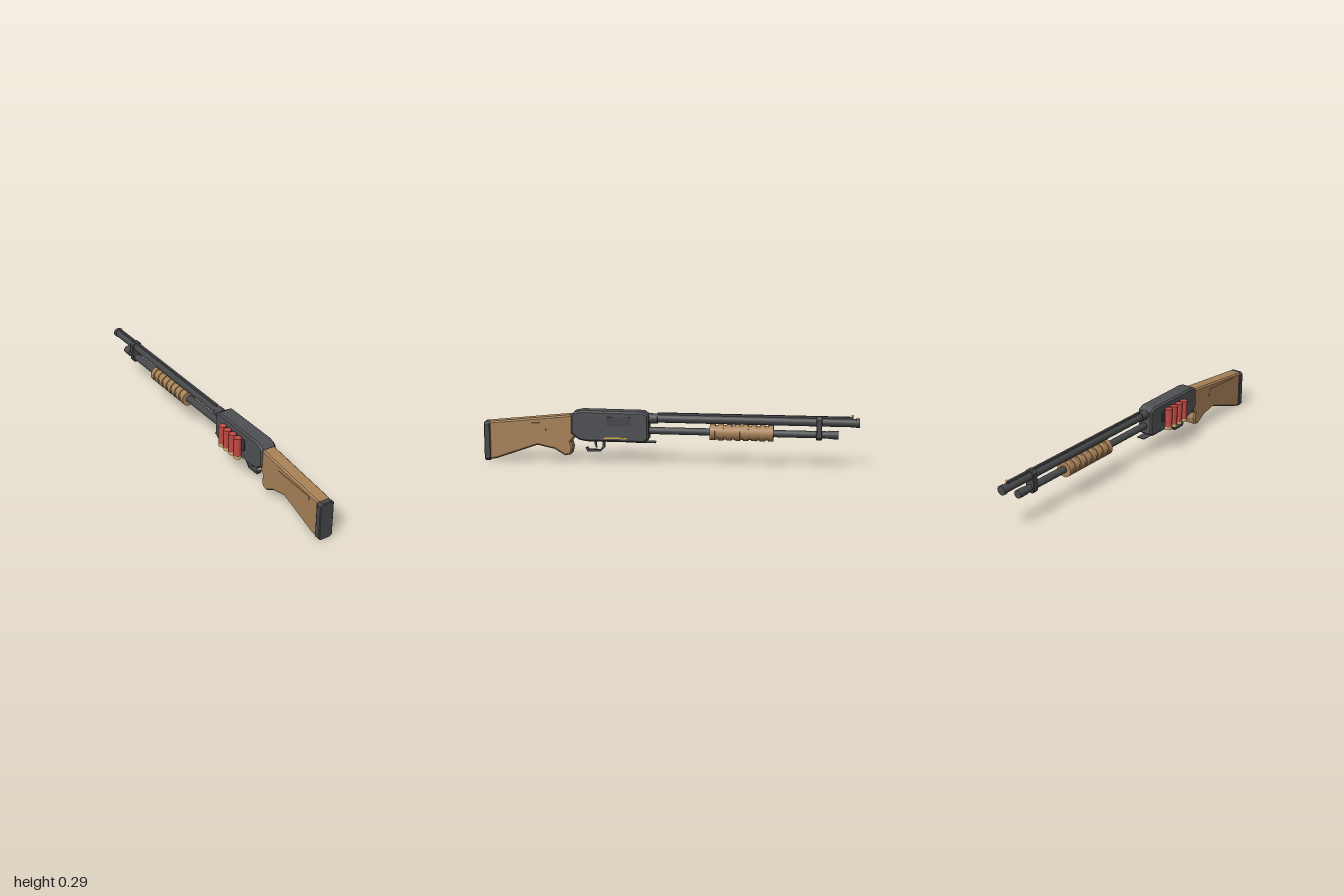
import * as THREE from 'three';

const mat = (name, color) => Object.assign(new THREE.MeshStandardMaterial({ color }), { name });

export function createModel() {
  const steel = mat('receiver steel', 0x4f5054);
  const dark = mat('barrel steel', 0x47484b);
  const wood = mat('wood', 0xa88258);
  const red = mat('shell red', 0xc24a45);
  const brass = mat('brass', 0xcdb074);
  const gold = mat('gold', 0xd4ae48);
  const CX = 0.023; // gun axis; the shell holder hangs off one side
  const group = new THREE.Group();

  const add = (name, geo, material, x, y, z) => {
    const m = new THREE.Mesh(geo, material);
    m.name = name;
    m.position.set(x, y, z);
    group.add(m);
    return m;
  };
  const box = (name, material, w, h, d, x, y, z) =>
    add(name, new THREE.BoxGeometry(w, h, d), material, x, y, z);
  // round part running along z from z0 to z1
  const rod = (name, material, r, y, z0, z1, seg = 24) =>
    add(name, new THREE.CylinderGeometry(r, r, Math.abs(z1 - z0), seg).rotateX(Math.PI / 2),
      material, CX, y, (z0 + z1) / 2);
  const bevelled = (points, depth, bevel) => {
    const shape = new THREE.Shape(points.map(p => new THREE.Vector2(...p)));
    return new THREE.ExtrudeGeometry(shape, {
      depth: depth - 2 * bevel, bevelEnabled: bevel > 0, bevelSize: bevel,
      bevelThickness: bevel, bevelOffset: -bevel, bevelSegments: 1,
    }).translate(0, 0, bevel - depth / 2);
  };
  // side profile in (z, y), widened along x
  const profile = (name, material, points, width, bevel) =>
    add(name, bevelled(points, width, bevel).rotateY(-Math.PI / 2), material, CX, 0, 0);
  const chamferRect = (w, h, c) => [
    [-w / 2 + c, -h / 2], [w / 2 - c, -h / 2], [w / 2, -h / 2 + c], [w / 2, h / 2 - c],
    [w / 2 - c, h / 2], [-w / 2 + c, h / 2], [-w / 2, h / 2 - c], [-w / 2, -h / 2 + c],
  ];

  // stock, cheek panels and butt pad
  profile('stock', wood, [
    [0.972, 0.214], [0.51, 0.262], [0.5, 0.14], [0.525, 0.115], [0.515, 0.083],
    [0.524, 0.046], [0.558, 0.038], [0.614, 0.072], [0.708, 0.092], [0.935, 0.012], [0.972, 0.008],
  ], 0.074, 0.008);
  for (const s of [-1, 1]) {
    const panel = bevelled([[0.905, 0.187], [0.905, 0.207], [0.66, 0.216], [0.66, 0.172]], 0.004, 0);
    add('cheekPanel', panel.rotateY(-Math.PI / 2), wood, CX + s * 0.038, 0, 0);
  }
  add('buttPad', bevelled(chamferRect(0.081, 0.212, 0.012), 0.034, 0.004), dark, CX, 0.107, 0.983);

  // receiver with its small fittings
  profile('receiver', steel, [
    [0.523, 0.262], [0.505, 0.278], [0.465, 0.286], [0.135, 0.284], [0.105, 0.265],
    [0.105, 0.137], [0.128, 0.12], [0.44, 0.12], [0.48, 0.128], [0.523, 0.16],
  ], 0.09, 0.009);
  box('ejectionPort', dark, 0.004, 0.05, 0.13, 0.069, 0.23, 0.265);
  box('goldInlay', gold, 0.003, 0.008, 0.124, 0.069, 0.142, 0.284);
  box('loadingPlate', dark, 0.046, 0.004, 0.13, CX, 0.118, 0.135);

  // trigger and guard
  profile('triggerGuard', dark, [
    [0.345, 0.125], [0.357, 0.125], [0.357, 0.088], [0.372, 0.07], [0.432, 0.07], [0.44, 0.082],
    [0.45, 0.08], [0.44, 0.06], [0.368, 0.06], [0.345, 0.084],
  ], 0.024, 0);
  profile('trigger', dark, [
    [0.39, 0.125], [0.405, 0.125], [0.402, 0.1], [0.394, 0.08], [0.387, 0.082], [0.392, 0.1],
  ], 0.01, 0);

  // barrel, rib and sight
  rod('barrel', dark, 0.022, 0.246, 0.11, -0.99);
  rod('barrelCollar', dark, 0.027, 0.246, 0.11, 0.06);
  rod('muzzleRing', dark, 0.025, 0.246, -0.98, -1);
  box('topRib', dark, 0.012, 0.012, 1.02, CX, 0.272, -0.45);
  add('frontBead', new THREE.SphereGeometry(0.006, 12, 8), gold, CX, 0.283, -0.962);
  box('beadPost', dark, 0.005, 0.014, 0.006, CX, 0.272, -0.962);

  // magazine tube and clamp
  rod('magazineTube', dark, 0.019, 0.18, 0.11, -0.84);
  rod('magazineCap', dark, 0.022, 0.18, -0.84, -0.892);
  add('barrelClamp', bevelled(chamferRect(0.056, 0.124, 0.014), 0.03, 0.003), dark, CX, 0.214, -0.791);

  // ribbed pump grip
  rod('pumpGrip', wood, 0.038, 0.18, -0.22, -0.553);
  for (let i = 0; i < 8; i++) {
    const z = -0.233 - i * 0.0438;
    rod('gripRib', wood, 0.043, 0.18, z + 0.014, z - 0.014);
  }

  // shell holder with four spare shells
  add('shellHolder', bevelled([[0.195, 0.188], [0.203, 0.18], [0.372, 0.18], [0.38, 0.188],
    [0.38, 0.237], [0.372, 0.245], [0.203, 0.245], [0.195, 0.237]], 0.01, 0.002).rotateY(-Math.PI / 2),
  dark, -0.027, 0, 0);
  for (let i = 0; i < 4; i++) {
    const z = 0.22 + i * 0.0457;
    add('shellBody', new THREE.CylinderGeometry(0.02, 0.02, 0.104, 20), red, -0.053, 0.21, z);
    add('shellBase', new THREE.CylinderGeometry(0.0206, 0.0206, 0.017, 20), brass, -0.053, 0.15, z);
  }
  return group;
}
